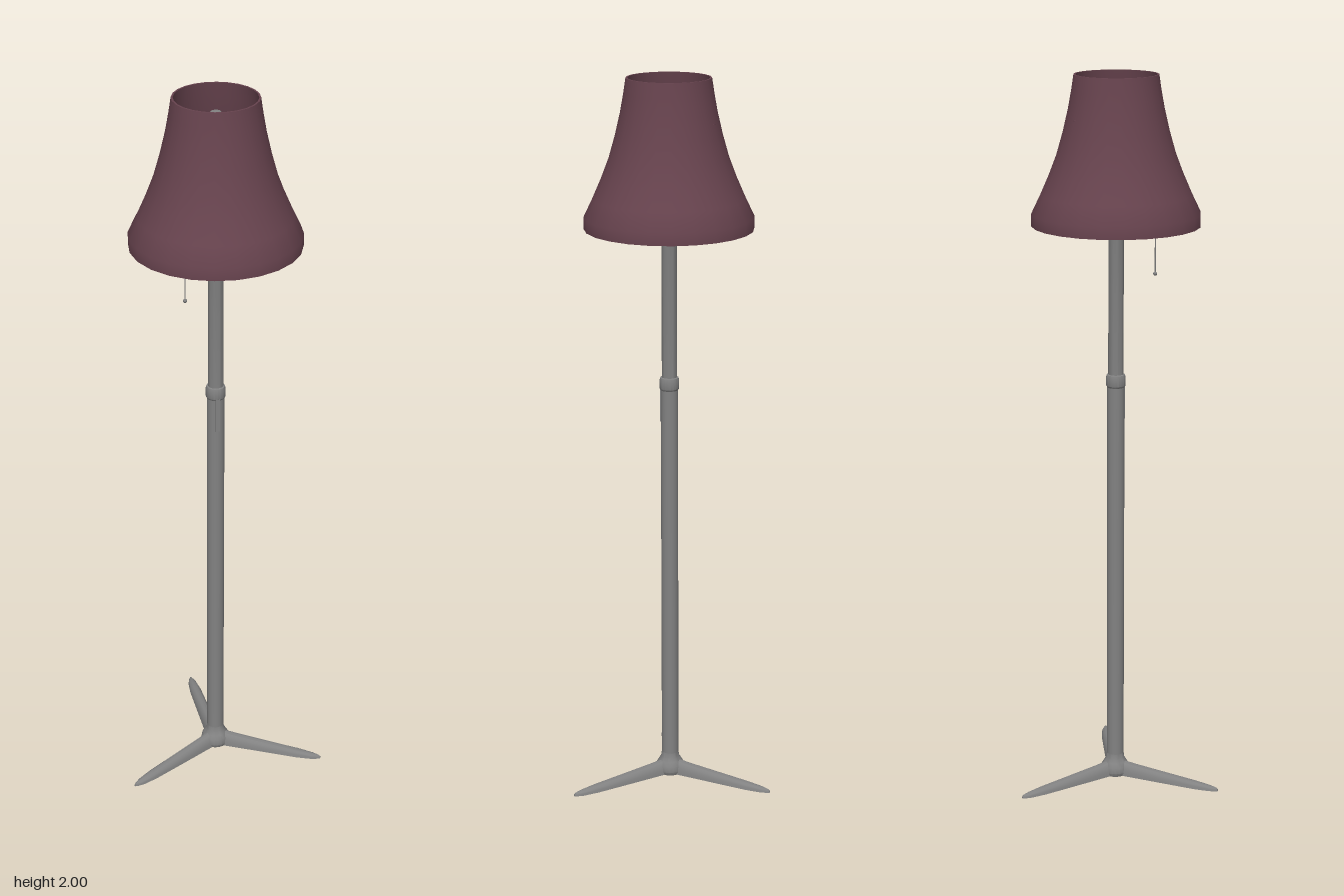
import * as THREE from 'three';
import { toCreasedNormals } from 'three/addons/utils/BufferGeometryUtils.js';

const metal = new THREE.MeshStandardMaterial({ color: 0x828282 });
metal.name = 'grey metal';
const fabric = new THREE.MeshStandardMaterial({ color: 0x67434e });
fabric.name = 'plum fabric';

function add(parent, name, geometry, material, x = 0, y = 0, z = 0) {
  const mesh = new THREE.Mesh(geometry, material);
  mesh.name = name;
  mesh.position.set(x, y, z);
  parent.add(mesh);
  return mesh;
}

// Turned part from [radius, height] pairs, listed bottom to top on the outside
function turned(profile, sides) {
  const points = profile.map(([r, y]) => new THREE.Vector2(r, y));
  return toCreasedNormals(new THREE.LatheGeometry(points, sides), 0.55);
}

// Tapered foot along +z: domed top over a flat underside
function footGeometry() {
  const sections = [ // distance, half width, height
    [0, 0.021, 0.046], [0.06, 0.02, 0.038], [0.16, 0.0185, 0.029],
    [0.25, 0.017, 0.021], [0.295, 0.012, 0.016], [0.312, 0.006, 0.013], [0.319, 0.002, 0.01],
  ];
  const n = 9;
  const positions = [];
  const index = [];
  for (const [z, w, h] of sections) {
    for (let i = 0; i < n; i++) {
      const a = (i / (n - 1)) * Math.PI;
      positions.push(w * Math.cos(a), 0.003 + (h - 0.003) * Math.sin(a), z);
    }
  }
  for (let s = 0; s < sections.length - 1; s++) {
    for (let i = 0; i < n; i++) {
      const a = s * n + i;
      const b = s * n + ((i + 1) % n);
      index.push(a, b, b + n, a, b + n, a + n);
    }
  }
  // Close the tip
  const last = (sections.length - 1) * n;
  for (let i = 1; i < n - 1; i++) index.push(last, last + i, last + i + 1);
  const geometry = new THREE.BufferGeometry();
  geometry.setAttribute('position', new THREE.Float32BufferAttribute(positions, 3));
  geometry.setIndex(index);
  // Face the skin outward
  for (let i = 0; i < index.length; i += 3) {
    const p = [0, 1, 2].map((k) => new THREE.Vector3().fromArray(positions, index[i + k] * 3));
    const normal = p[1].clone().sub(p[0]).cross(p[2].clone().sub(p[0]));
    const mid = p[0].clone().add(p[1]).add(p[2]).divideScalar(3);
    const outward = mid.z > 0.3189 ? new THREE.Vector3(0, 0, 1) : new THREE.Vector3(mid.x, mid.y - 0.006, 0);
    if (normal.dot(outward) < 0) {
      const swap = index[i + 1];
      index[i + 1] = index[i + 2];
      index[i + 2] = swap;
    }
  }
  geometry.setIndex(index);
  return toCreasedNormals(geometry, 0.8);
}

export function createModel() {
  const lamp = new THREE.Group();
  lamp.name = 'floorLamp';
  const body = new THREE.Group();
  body.name = 'lampBody';
  body.position.set(-0.003, 0, 0.045);
  lamp.add(body);

  // Three-footed base with a flared hub
  const foot = footGeometry();
  for (const [name, turn] of [['leftFoot', 60], ['rightFoot', -60], ['backFoot', 180]]) {
    add(body, name, foot, metal).rotation.y = THREE.MathUtils.degToRad(turn);
  }
  add(body, 'hub', turned([
    [0, 0], [0.037, 0.002], [0.041, 0.012], [0.039, 0.028], [0.032, 0.04], [0.026, 0.05], [0.024, 0.065],
  ], 24), metal);

  // Telescopic pole
  add(body, 'lowerPole', new THREE.CylinderGeometry(0.024, 0.024, 1.1, 20), metal, 0, 0.61, 0);
  add(body, 'collar', turned([
    [0.024, 1.148], [0.027, 1.153], [0.027, 1.176], [0.025, 1.183], [0.019, 1.185],
  ], 20), metal);
  add(body, 'upperPole', turned([
    [0.021, 1.15], [0.021, 1.9], [0.024, 1.91], [0.024, 1.94], [0.021, 1.953], [0.013, 1.962], [0, 1.965],
  ], 20), metal);
  add(body, 'poleStrip', new THREE.BoxGeometry(0.012, 0.1, 0.006), metal, 0, 1.105, 0.0235);

  // Hollow shade: outer wall upward, then inner wall downward
  const wall = [
    [0.229, 1.597], [0.229, 1.63], [0.205, 1.68], [0.181, 1.735], [0.16, 1.79],
    [0.143, 1.85], [0.129, 1.91], [0.12, 1.96], [0.114, 2],
  ];
  const lining = wall.map(([r, y]) => [r - 0.005, y]).reverse();
  add(body, 'shade', turned([...wall, ...lining, wall[0]], 24), fabric);
  add(body, 'shadeStud', new THREE.SphereGeometry(0.006, 10, 6), fabric, 0, 1.885, -0.132).scale.set(1.6, 0.5, 0.5);

  // Pull cord with a small bead
  add(body, 'pullCord', new THREE.CylinderGeometry(0.0017, 0.0017, 0.28, 6), metal, -0.097, 1.615, 0.06);
  add(body, 'pullBead', new THREE.SphereGeometry(0.0055, 10, 8), metal, -0.097, 1.473, 0.06);

  return lamp;
}
